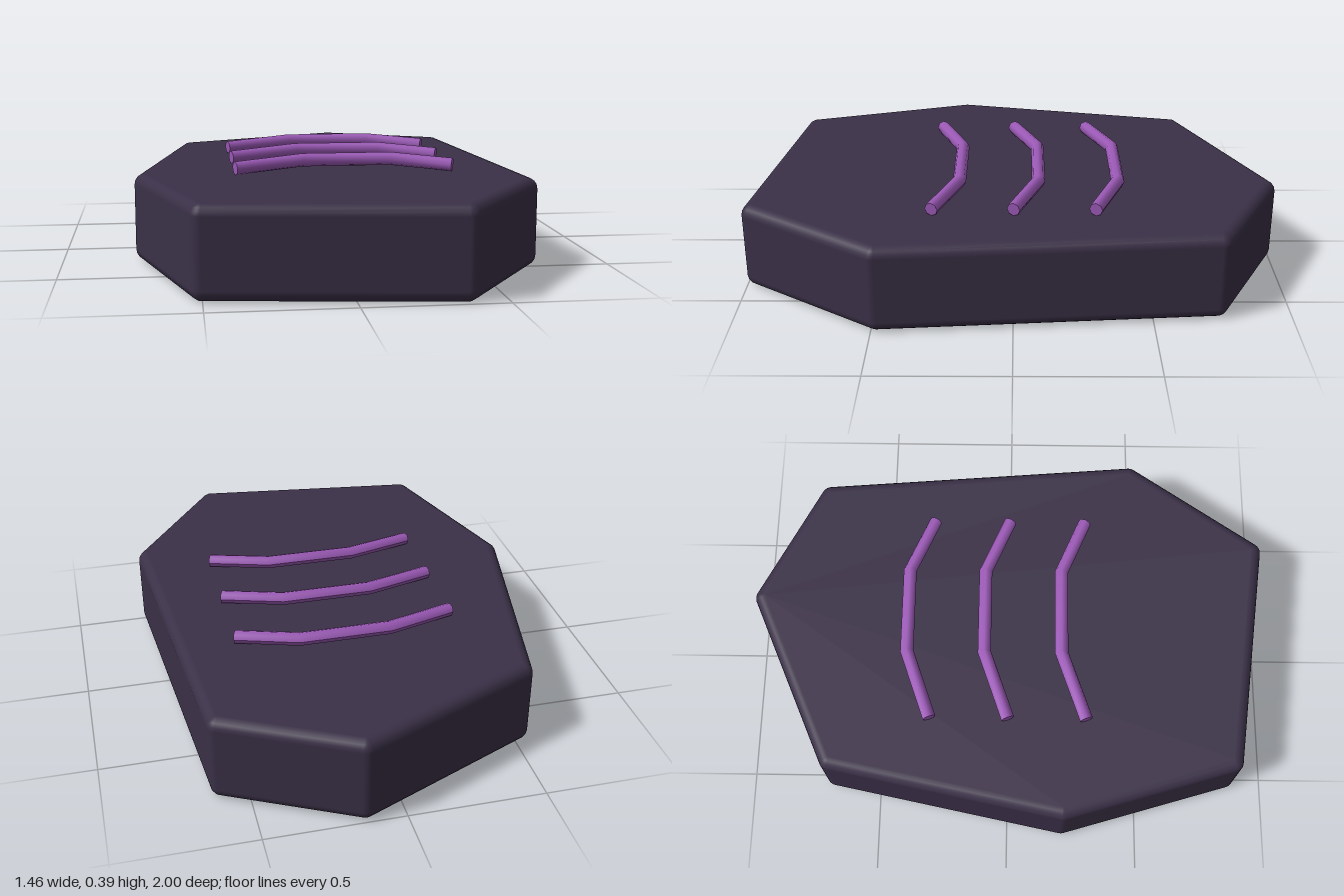
import * as THREE from 'three';

const HEIGHT = 0.327;
const ROUND = 0.04;

// Rounded slab: a convex core outline (x, z) swollen by a radius, with smooth normals
function roundedSlab(core, height, r) {
  const n = core.length, arc = 5, rows = 5;
  const edgeAngle = (i) => {
    const a = core[(i + n) % n], b = core[(i + 1 + n) % n];
    return Math.atan2(-(b[0] - a[0]), b[1] - a[1]);
  };
  // corner arcs around the outline
  const rim = [];
  core.forEach(([x, z], i) => {
    const a0 = edgeAngle(i - 1);
    let d = edgeAngle(i) - a0;
    d = Math.atan2(Math.sin(d), Math.cos(d));
    for (let k = 0; k <= arc; k++) rim.push([x, z, a0 + (d * k) / arc]);
  });

  // cross-section rings from the underside to the top
  const pos = [], nor = [], idx = [], m = rim.length;
  for (let j = 0; j < rows * 2; j++) {
    const upper = j >= rows;
    const b = ((upper ? j - rows : j - rows + 1) / (rows - 1)) * Math.PI / 2;
    const c = Math.cos(b), s = Math.sin(b);
    for (const [x, z, a] of rim) {
      const nx = Math.cos(a) * c, nz = Math.sin(a) * c;
      pos.push(x + nx * r, (upper ? height - r : r) + s * r, z + nz * r);
      nor.push(nx, s, nz);
    }
  }
  for (let j = 0; j < rows * 2 - 1; j++) {
    for (let i = 0; i < m; i++) {
      const a = j * m + i, b = j * m + (i + 1) % m;
      idx.push(a, a + m, b, b, a + m, b + m);
    }
  }
  // flat caps
  const top = (rows * 2 - 1) * m;
  for (let i = 1; i < m - 1; i++) {
    idx.push(0, i, i + 1, top, top + i + 1, top + i);
  }
  const g = new THREE.BufferGeometry();
  g.setAttribute('position', new THREE.Float32BufferAttribute(pos, 3));
  g.setAttribute('normal', new THREE.Float32BufferAttribute(nor, 3));
  g.setIndex(idx);
  return g;
}

// Capped round bar bent along a few points, with mitred joints
function bentBar(points, radius) {
  const last = points.length - 1;
  const g = new THREE.CylinderGeometry(radius, radius, 1, 8, last);
  const p = g.attributes.position;
  const dir = (i) => points[i + 1].clone().sub(points[i]).normalize();
  const frames = points.map((_, i) => {
    const before = dir(Math.max(i - 1, 0)), after = dir(Math.min(i, last - 1));
    const t = before.clone().add(after).normalize();
    const up = new THREE.Vector3(0, 1, 0).addScaledVector(t, -t.y).normalize();
    const side = up.clone().cross(t).multiplyScalar(1 / t.dot(after));
    return { up, side };
  });
  for (let k = 0; k < p.count; k++) {
    const i = Math.round((p.getY(k) + 0.5) * last);
    const v = points[i].clone()
      .addScaledVector(frames[i].up, p.getX(k))
      .addScaledVector(frames[i].side, p.getZ(k));
    p.setXYZ(k, v.x, v.y, v.z);
  }
  g.computeVertexNormals();
  return g;
}

export function createModel() {
  const stone = new THREE.MeshStandardMaterial({ name: 'dark plum stone', color: 0x3a3047 });
  const purple = new THREE.MeshStandardMaterial({ name: 'purple', color: 0x9b59b6 });
  const model = new THREE.Group();
  model.name = 'ridgedSlab';

  // seven-sided slab
  const core = [
    [0.14, -0.96], [0.59, -0.73], [0.69, 0.48], [0.36, 0.96],
    [-0.5, 0.85], [-0.69, 0.21], [-0.51, -0.67],
  ];
  const slab = new THREE.Mesh(roundedSlab(core, HEIGHT, ROUND), stone);
  slab.name = 'slab';
  model.add(slab);

  // three bent ridges lying on the top
  const bar = bentBar([
    new THREE.Vector3(-0.36, 0.352, 0),
    new THREE.Vector3(-0.1, 0.366, -0.093),
    new THREE.Vector3(0.235, 0.366, -0.093),
    new THREE.Vector3(0.456, 0.352, 0),
  ], 0.025);
  [-0.296, 0, 0.296].forEach((z, i) => {
    const ridge = new THREE.Mesh(bar, purple);
    ridge.name = 'ridge' + (i + 1);
    ridge.position.z = z;
    model.add(ridge);
  });
  return model;
}
